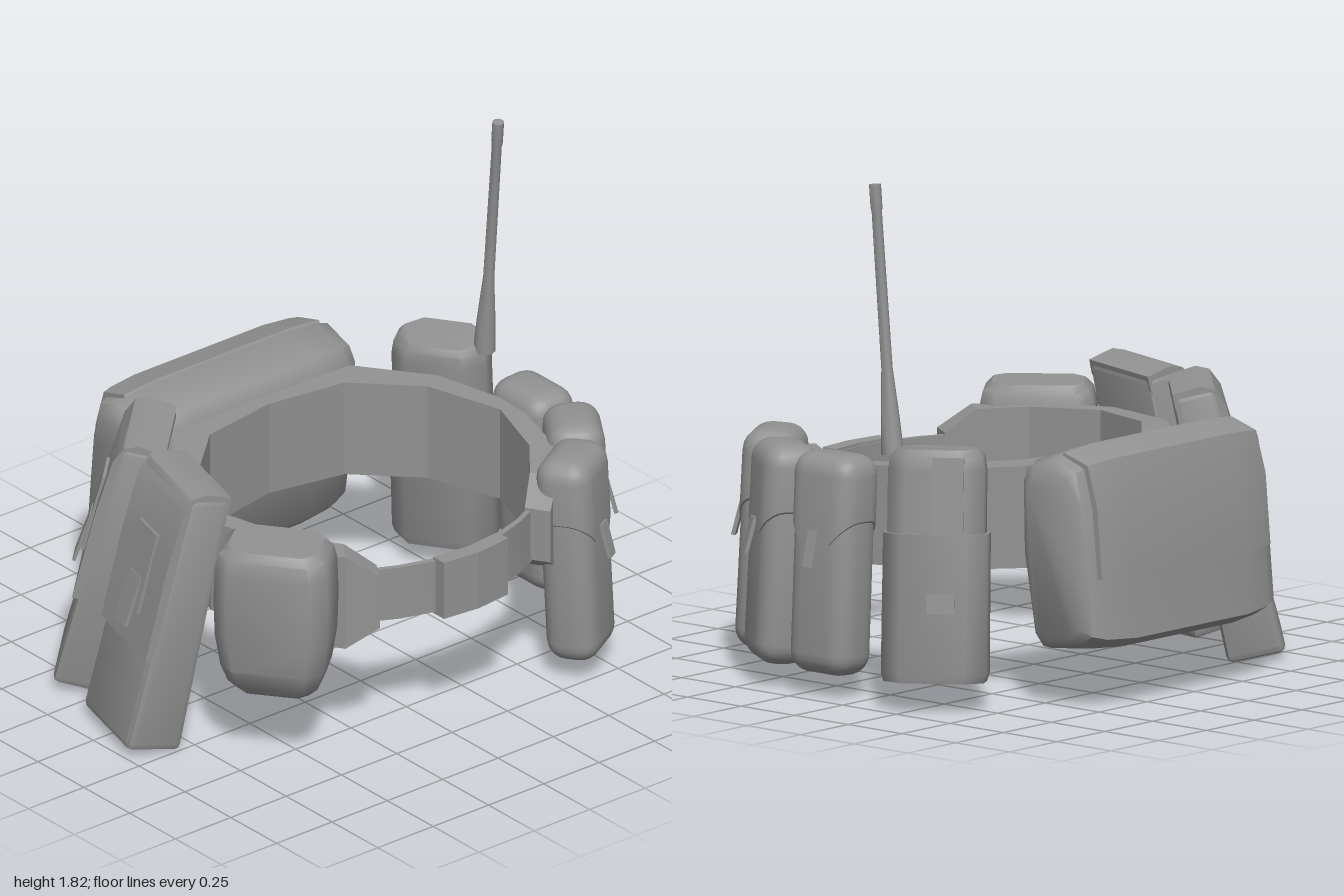
import * as THREE from 'three';
import { toCreasedNormals } from 'three/addons/utils/BufferGeometryUtils.js';
import { RoundedBoxGeometry } from 'three/addons/geometries/RoundedBoxGeometry.js';

const material = new THREE.MeshStandardMaterial({ color: 0x929292 });
const CX = 0.08; // the belt's own centre line

function part(name, geometry, crease = 0.7) {
  const mesh = new THREE.Mesh(toCreasedNormals(geometry, crease), material);
  mesh.name = name;
  return mesh;
}

// Skin through closed rings of [x, y, z] points, with capped ends
function loft(rings) {
  const n = rings[0].length, index = [];
  for (let i = 0; i < rings.length - 1; i++) {
    for (let j = 0; j < n; j++) {
      const a = i * n + j, b = i * n + (j + 1) % n;
      index.push(a, b, b + n, a, b + n, a + n);
    }
  }
  const last = (rings.length - 1) * n;
  for (let k = 1; k < n - 1; k++) index.push(0, k + 1, k, last, last + k, last + k + 1);
  const g = new THREE.BufferGeometry();
  g.setAttribute('position', new THREE.Float32BufferAttribute(rings.flat(2), 3));
  g.setIndex(index);
  return g;
}

// Upright body with a corner-cut plan; levels are [y, scale, zShift]
function upright(w, d, cut, levels) {
  const a = w / 2, b = d / 2;
  const plan = [
    [a, b - cut], [a, cut - b], [a - cut, -b], [cut - a, -b],
    [-a, cut - b], [-a, b - cut], [cut - a, b], [a - cut, b],
  ];
  return loft(levels.map(([y, s, dz = 0]) => plan.map(([x, z]) => [x * s, y, z * s + dz])));
}

// Curved band; each section is [innerX, innerZ, outerX, outerZ, low, high]
function band(sections) {
  return loft(sections.map(([ix, iz, ox, oz, lo, hi]) => [
    [CX + ox, lo, oz], [CX + ox, hi, oz], [CX + ix, hi, iz], [CX + ix, lo, iz],
  ]));
}

// Apply a rule to every vertex
function reshape(geometry, rule) {
  const p = geometry.attributes.position, v = new THREE.Vector3();
  for (let i = 0; i < p.count; i++) {
    rule(v.fromBufferAttribute(p, i));
    p.setXYZ(i, v.x, v.y, v.z);
  }
  return geometry;
}

const soft = (w, h, d, r, seg) => new RoundedBoxGeometry(w, h, d, seg, r);

function box(name, w, h, d, x, y, z, tilt = 0) {
  const m = part(name, new THREE.BoxGeometry(w, h, d));
  m.position.set(x, y, z);
  m.rotation.x = tilt;
  return m;
}

// Group whose local +z points outward from the belt; lean pushes the foot outward
function station(name, x, y, z, dirX, dirZ, lean = 0) {
  const g = new THREE.Group();
  g.name = name;
  g.position.set(x, y, z);
  g.rotation.set(-lean, Math.atan2(dirX, dirZ), 0, 'YXZ');
  return g;
}

function buildBelt() {
  const g = new THREE.Group();
  g.name = 'belt';
  // Padded band, one half mirrored onto the other
  const half = [
    [0.305, -0.30, 0.4, -0.39, 0.47, 0.83],
    [0.52, -0.11, 0.6, -0.15, 0.46, 0.82],
    [0.617, 0.17, 0.69, 0.17, 0.46, 0.81],
    [0.535, 0.43, 0.61, 0.47, 0.44, 0.8],
    [0.42, 0.57, 0.48, 0.65, 0.43, 0.79],
    [0.335, 0.645, 0.385, 0.725, 0.51, 0.71],
  ];
  const mirrored = half.map(([a, b, c, ...rest]) => [-a, b, -c, ...rest]).reverse();
  g.add(part('beltPad', band([...mirrored, [0, -0.345, 0, -0.4, 0.48, 0.83], ...half]), 0.2));
  // Front webbing and clasp
  const arc = (xs, lo, hi, thick, push) => band(xs.map((x) => {
    const z = 0.755 - 0.75 * x * x + push;
    return [x, z - thick, x, z, lo, hi];
  }));
  g.add(part('frontStrap', arc([0.38, 0.27, 0.14, 0, -0.14, -0.27, -0.38], 0.5, 0.7, 0.022, 0)));
  g.add(part('clasp', arc([0.145, 0, -0.145], 0.49, 0.71, 0.06, 0.045), 0.1));
  return g;
}

// Tall rounded pouch with a pointed flap and a pull tab
function buildSlimPouch(x, z, dirX, dirZ) {
  const g = station('slimPouch', x, 0.472, z, dirX, dirZ, 0.05);
  g.add(part('pouchBody', soft(0.275, 0.775, 0.195, 0.075, 3)));
  const flap = reshape(soft(0.285, 0.4, 0.205, 0.075, 3), (v) => {
    if (v.y < 0) v.y = -0.12 + Math.max(0, Math.abs(v.x) - 0.06) * 1.1;
  });
  const lid = part('pouchFlap', flap);
  lid.position.y = 0.192;
  g.add(lid, box('pullTab', 0.045, 0.13, 0.014, 0, 0.06, 0.118, -0.2));
  return g;
}

// Leaning pouch, thinner at the top, with a cover and fastening strap
function buildLongPouch(x, z, dirX, dirZ) {
  const g = station('longPouch', x, 0.5, z, dirX, dirZ, 0.205);
  const body = reshape(soft(0.39, 0.97, 0.21, 0.025, 1), (v) => {
    if (v.z > 0) v.z -= 0.05 * (v.y + 0.485) / 0.97;
  });
  g.add(part('pouchBody', body, 0.5));
  const side = new THREE.Shape([
    [-0.1, 0.44], [-0.1, 0.49], [0, 0.5], [0.045, 0.48], [0.073, 0.42], [0.092, 0.2], [0.103, -0.14], [0.08, -0.14],
  ].map(([a, b]) => new THREE.Vector2(a, b)));
  const cover = new THREE.ExtrudeGeometry(side, { depth: 0.38, bevelEnabled: false });
  cover.rotateY(-Math.PI / 2).translate(0.19, 0, 0);
  g.add(part('pouchCover', cover));
  g.add(box('strapPanel', 0.15, 0.3, 0.012, 0, 0.14, 0.098, -0.05));
  g.add(box('strapTab', 0.09, 0.19, 0.012, 0, 0.02, 0.115, -0.12));
  return g;
}

function buildRoundPouch() {
  const g = station('roundPouch', -0.6, 0.58, 0.515, -0.79, 0.61);
  g.add(part('pouchBody', upright(0.41, 0.28, 0.055, [
    [-0.29, 0.6, -0.02], [-0.25, 0.78, -0.01], [-0.18, 0.89], [-0.06, 0.98], [0.08, 1],
    [0.2, 0.98], [0.255, 0.92], [0.285, 0.78],
  ]), 0.8));
  return g;
}

// Wide rear pack from scaled side profiles
function buildRearPack() {
  const g = new THREE.Group();
  g.name = 'rearPack';
  const profile = [
    [-0.4, 0.82], [-0.44, 0.875], [-0.594, 0.918], [-0.71, 0.88], [-0.755, 0.73], [-0.78, 0.507],
    [-0.807, 0.26], [-0.734, 0.22], [-0.517, 0.195], [-0.47, 0.24], [-0.406, 0.55],
  ];
  const flap = [[-0.58, 0.9], [-0.6, 0.924], [-0.725, 0.89], [-0.776, 0.74], [-0.802, 0.48], [-0.74, 0.48]];
  // Half spans are [x, zScale, yScale]
  const shell = (points, ends) => {
    const spans = [...ends, ...ends.map(([x, a, b]) => [-x, a, b]).reverse()];
    return loft(spans.map(([x, sz, sy]) => points.map(([z, y]) => [
      CX - 0.005 + x, 0.55 + (y - 0.55) * sy, -0.6 + (z + 0.6) * sz,
    ])));
  };
  g.add(part('packBody', shell(profile, [[0.5, 0.6, 0.84], [0.475, 0.78, 0.92], [0.42, 0.9, 0.97], [0.29, 1, 1]]), 0.8));
  g.add(part('packFlap', shell(flap, [[0.44, 0.88, 0.965], [0.4, 0.94, 0.98], [0.29, 1, 1]])));
  return g;
}

function buildRadio() {
  const g = station('radio', 0.8, 0.515, -0.26, 0.82, -0.57, 0.1);
  g.add(part('radioBody', upright(0.36, 0.23, 0.07, [[-0.405, 0.95], [0.33, 0.94], [0.38, 0.9], [0.405, 0.78]]), 0.9));
  // Holster around the lower part, with a strip running up one side
  g.add(part('radioSleeve', upright(0.37, 0.24, 0.07, [[-0.41, 0.95], [-0.38, 1], [0.11, 0.99]]), 0.9));
  g.add(box('sleeveStrap', 0.11, 0.3, 0.012, 0.05, 0.23, 0.108));
  g.add(box('strapEnd', 0.1, 0.07, 0.006, 0.03, -0.13, 0.12));
  return g;
}

function buildAntenna() {
  const foot = new THREE.Vector3(0.845, 0.89, -0.095), tip = new THREE.Vector3(0.825, 1.83, 0.005);
  const axis = tip.clone().sub(foot), len = axis.length();
  const outline = [
    [0, 0], [0.04, 0], [0.036, 0.08], [0.031, 0.16], [0.02, 0.3],
    [0.018, len - 0.1], [0.021, len - 0.08], [0.021, len], [0, len],
  ].map(([r, y]) => new THREE.Vector2(r, y));
  const m = part('antenna', new THREE.LatheGeometry(outline, 10));
  m.position.copy(foot);
  m.quaternion.setFromUnitVectors(new THREE.Vector3(0, 1, 0), axis.normalize());
  return m;
}

export function createModel() {
  const model = new THREE.Group();
  model.name = 'utilityBelt';
  model.add(buildBelt(), buildRearPack(), buildRoundPouch(), buildRadio(), buildAntenna());
  // Three slim pouches around the left front
  for (const spot of [[0.865, 0.165, 1, 0], [0.822, 0.445, 0.83, 0.55], [0.64, 0.655, 0.5, 0.86]]) {
    model.add(buildSlimPouch(...spot));
  }
  // Two long pouches on the right rear
  for (const spot of [[-0.765, 0.065, -0.96, -0.27], [-0.605, -0.36, -0.7, -0.72]]) {
    model.add(buildLongPouch(...spot));
  }
  return model;
}
